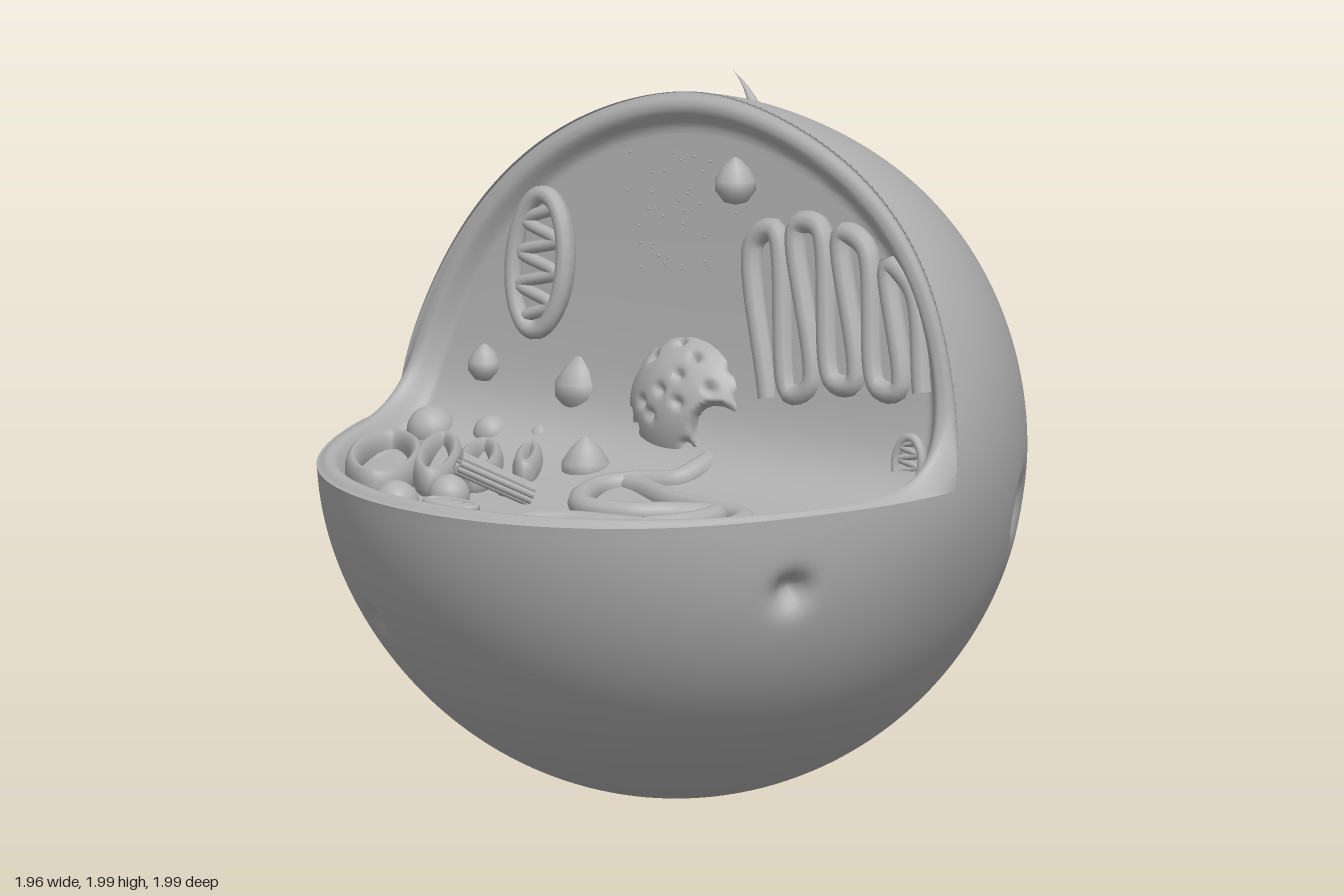
import * as THREE from 'three';
import { mergeVertices } from 'three/addons/utils/BufferGeometryUtils.js';

const grey = new THREE.MeshStandardMaterial({ color: 0xb0b0b0, side: THREE.DoubleSide });
grey.name = 'clay grey';

const V = (x, y, z) => new THREE.Vector3(x, y, z);
const CY = 0.975, FLOOR_SINK = 0.085, WALL_SINK = 0.045, FLOOR = 0.88;
const wallX = y => 0.123 * (y - CY) + WALL_SINK - 0.005;
const smooth = THREE.MathUtils.smoothstep;

function add(parent, name, geometry, pos = [0, 0, 0]) {
  const m = new THREE.Mesh(geometry, grey);
  m.name = name;
  m.position.set(...pos);
  parent.add(m);
  return m;
}

// Relief of the outer membrane: direction, height, radius
const relief = [
  // broad swells and flats
  [V(0, 0, 1), 0.025, 0.3], [V(0, 0, -1), 0.025, 0.3], [V(0, 0.65, 0.76), 0.045, 0.5], [V(0.1, 1, 0), 0.015, 0.3],
  [V(0.85, 0.5, 0), 0.04, 0.45], [V(0.8, -0.5, 0), -0.02, 0.35],
  [V(-0.8, 0, -0.6), 0.03, 0.5], [V(-0.5, 0, 0.85), -0.018, 0.3],
  // small pits
  [V(-0.48, -0.25, 0.82), -0.06, 0.05], [V(0.5, -0.14, 0.8), -0.05, 0.07],
  [V(0.97, -0.03, 0.1), -0.075, 0.055], [V(0.97, -0.03, 0.1), 0.015, 0.11],
  [V(-0.1, -0.36, -0.89), -0.045, 0.045], [V(-0.77, -0.43, -0.45), -0.025, 0.035],
].map(([d, h, r]) => [d.normalize(), h, r]);

function radius(d) {
  let r = 0.968;
  for (const [p, height, size] of relief) r += height * Math.exp(-d.distanceToSquared(p) / (size * size));
  return r;
}

// Body: three-quarter cross-sections swept from one z pole to the other
function bodyGeometry() {
  const arcN = 170, cutN = 80, rows = 130, total = arcN + cutN;
  const a0 = THREE.MathUtils.degToRad(83), a1 = THREE.MathUtils.degToRad(-178);
  const pos = [], index = [];
  for (let j = 0; j <= rows; j++) {
    const t = Math.PI * j / rows, R = Math.sin(t), z = Math.cos(t);
    const outer = a => {
      const d = V(R * Math.cos(a), R * Math.sin(a), z);
      return d.multiplyScalar(radius(d));
    };
    const floorEnd = outer(a1), wallEnd = outer(a0);
    for (let i = 0; i < total; i++) {
      let p;
      if (i < arcN) p = outer(a0 + (a1 - a0) * i / arcN);
      else {
        // floor, fillet and wall, sunk inside a rounded rim
        const w = Math.sin(Math.PI * ((i - arcN) / cutN - 0.5));
        const k = (1 - w * w) * Math.min(0.55, 0.15 / R), h = Math.sqrt(w * w + k * k);
        const a = (h - w) / 2, b = (h + w) / 2;
        p = V(0, 0, 0).addScaledVector(floorEnd, a).addScaledVector(wallEnd, b);
        p.z = THREE.MathUtils.lerp(floorEnd.z, wallEnd.z, (w + 1) / 2);
        const edge = 1 - Math.sqrt(w * w * R * R + z * z);
        const depth = (a * FLOOR_SINK + b * WALL_SINK) / (a + b);
        const sink = depth * smooth(edge, 0.045, 0.11) + 0.02 * (1 - smooth(edge, 0, 0.03)) * R;
        p.addScaledVector(V(b, -a, 0).normalize(), sink);
      }
      pos.push(p.x, p.y + CY, p.z);
      if (j < rows) {
        const n = (i + 1) % total, q = j * total;
        index.push(q + i, q + n, q + total + i, q + n, q + total + n, q + total + i);
      }
    }
  }
  let g = new THREE.BufferGeometry();
  g.setAttribute('position', new THREE.Float32BufferAttribute(pos, 3));
  g.setIndex(index);
  g = mergeVertices(g, 1e-5);
  g.computeVertexNormals();
  return g;
}

const tube = (pts, r, closed = false, n = 100) =>
  new THREE.TubeGeometry(new THREE.CatmullRomCurve3(pts, closed), n, r, 10, closed);

// Long oval rim lying in the xz plane
function oval(halfL, halfW, r) {
  const pts = Array.from({ length: 24 }, (_, i) => {
    const a = i / 24 * Math.PI * 2;
    return V(halfL * Math.cos(a), 0, halfW * Math.sin(a));
  });
  return tube(pts, r, true, 72);
}

// Cut-open oval capsule with a folded inner membrane
function mitochondrion(parent, halfL, halfW) {
  const g = new THREE.Group();
  g.name = 'mitochondrion';
  const r = halfW * 0.22;
  add(g, 'mitochondrionRim', oval(halfL - r, halfW - r, r), [0, r, 0]);
  add(g, 'mitochondrionShell', new THREE.SphereGeometry(1, 32, 12, 0, Math.PI * 2, Math.PI / 2, Math.PI / 2)
    .scale(halfL, halfW * 0.7, halfW), [0, r, 0]);
  add(g, 'mitochondrionBase', new THREE.CylinderGeometry(1, 1, 0.008, 32).scale(halfL - r, 1, halfW - r));
  const folds = [];
  for (let i = 0; i <= 7; i++) {
    const x = (i / 7 - 0.5) * 1.45 * halfL;
    const w = halfW * 0.55 * Math.sqrt(1 - (x / halfL) ** 2);
    folds.push(V(x, r, i % 2 ? w : -w));
  }
  add(g, 'innerFold', tube(folds, r * 0.7));
  parent.add(g);
  return g;
}

// Nucleus with pores and an open patch
function nucleusGeometry() {
  const pores = Array.from({ length: 80 }, (_, i) => {
    const y = 1 - 2 * (i + 0.5) / 80, s = Math.sqrt(1 - y * y), a = i * 2.4 + Math.sin(i * 7) * 0.2;
    return V(s * Math.cos(a), y, s * Math.sin(a));
  });
  const opening = V(-0.75, -0.05, 0.65).normalize();
  const g = new THREE.SphereGeometry(1, 110, 80);
  const p = g.attributes.position, d = V(0, 0, 0);
  for (let i = 0; i < p.count; i++) {
    d.fromBufferAttribute(p, i).normalize();
    let r = 1 - 0.45 * (1 - smooth(d.distanceTo(opening), 0.26, 0.33));
    for (const q of pores) r -= 0.13 * Math.exp(-d.distanceToSquared(q) / 0.004);
    p.setXYZ(i, d.x * r, d.y * r, d.z * r);
  }
  g.scale(0.18, 0.23, 0.23);
  g.computeVertexNormals();
  return g;
}

export function createModel() {
  const cell = new THREE.Group();
  cell.name = 'cutawayCell';
  add(cell, 'cellBody', bodyGeometry());

  // Curved spike on top
  const spike = new THREE.ConeGeometry(0.028, 0.14, 12, 6);
  const sp = spike.attributes.position;
  for (let i = 0; i < sp.count; i++) {
    const h = sp.getY(i) / 0.14 + 0.5;
    sp.setX(i, sp.getX(i) + 0.02 * h);
    sp.setZ(i, sp.getZ(i) - 0.1 * h * h);
  }
  spike.computeVertexNormals();
  add(cell, 'spike', spike, [0.24, 1.93, 0.09]);

  // Nucleus
  add(cell, 'nucleus', nucleusGeometry(), [0.13, 1.06, 0]);
  add(cell, 'nucleolus', new THREE.SphereGeometry(0.045, 20, 14), [0.07, 1.055, 0.07]);

  // Tubes winding over the floor: [x, z] points
  const outerPath = [[-0.92, 0.17], [-0.82, 0.13], [-0.74, 0.2], [-0.69, 0.38], [-0.65, 0.53], [-0.53, 0.62],
    [-0.4, 0.57], [-0.34, 0.4], [-0.3, 0.22], [-0.23, 0.07], [-0.21, 0.0]];
  const innerPath = [[0.02, 0.13], [-0.08, 0.15], [-0.15, 0.13], [-0.19, 0.02], [-0.27, -0.04], [-0.42, 0.01],
    [-0.54, 0.12], [-0.53, 0.26], [-0.44, 0.38], [-0.4, 0.47], [-0.52, 0.49], [-0.67, 0.44]];
  for (const path of [outerPath, innerPath]) {
    add(cell, 'floorReticulum', tube(path.map(([x, z]) => V(x, FLOOR + 0.02 + 0.06 * smooth(x, -0.25, 0), z)), 0.034));
  }

  // Tubes folded up and down on the wall
  const folds = [];
  for (let i = 0; i < 8; i++) {
    const z = 0.23 + i * 0.08, top = 1.63 - 1.2 * (z - 0.46) ** 2, low = 1.14 + 0.08 * smooth(z, 0.2, 0.5);
    const ends = i % 2 ? [top, low] : [low, top];
    for (const y of ends) folds.push(V(wallX(y) - 0.005, y, z + (1.4 - y) * 0.22));
  }
  add(cell, 'wallReticulum', tube(folds, 0.032, false, 200));

  // Stack of open flattened sacs: x, z, half length, half width
  for (const [x, z, l, w] of [[-0.44, -0.68, 0.32, 0.1], [-0.35, -0.565, 0.29, 0.06],
    [-0.3, -0.455, 0.23, 0.055], [-0.2, -0.365, 0.165, 0.032]]) {
    const sac = new THREE.Group();
    sac.name = 'flattenedSac';
    const rim = add(sac, 'sacRim', oval(l - 0.02, w - 0.012, 0.021));
    rim.scale.y = 2.2;
    add(sac, 'sacBase', new THREE.CylinderGeometry(1, 1, 0.01, 40).scale(l - 0.02, 1, w - 0.012), [0, -0.025, 0]);
    sac.position.set(x, FLOOR + 0.03, z);
    sac.rotation.y = 0.62;
    cell.add(sac);
  }

  // Round vesicles: x, y, z, radius
  for (const [x, y, z, r] of [[-0.08, 0.94, -0.81, 0.068], [-0.05, 0.95, -0.62, 0.05], [-0.02, 0.95, -0.46, 0.04],
    [-0.78, 0.89, -0.36, 0.065], [-0.61, 0.895, -0.31, 0.058], [-0.44, 0.895, -0.23, 0.036]]) {
    add(cell, 'vesicle', new THREE.SphereGeometry(r, 24, 16), [x, y, z]);
  }

  // Drop-shaped vesicles: x, y, z, radius
  const drop = new THREE.LatheGeometry([[0, -1], [0.55, -0.84], [0.95, -0.3], [0.95, 0.2], [0.6, 0.75], [0.2, 1.15], [0, 1.25]]
    .map(([x, y]) => new THREE.Vector2(x, y)), 24);
  for (const [x, y, z, r] of [[0.1, 1.72, 0.13, 0.06], [-0.15, 0.92, -0.2, 0.07],
    [0.06, 1.09, -0.39, 0.075], [0.03, 1.12, -0.71, 0.048]]) {
    add(cell, 'dropVesicle', drop, [x, y, z]).scale.setScalar(r);
  }

  // Mitochondria: one on the floor, two on the wall
  const m1 = mitochondrion(cell, 0.1, 0.052);
  m1.position.set(-0.76, FLOOR + 0.015, -0.18);
  m1.rotation.y = Math.PI / 2 - 0.1;
  for (const [x, y, z, l, w] of [[0.085, 1.42, -0.54, 0.215, 0.115], [0.015, 1.03, 0.83, 0.085, 0.06]]) {
    const m = mitochondrion(cell, l, w);
    m.position.set(x, y, z);
    m.rotation.z = Math.PI / 2 - 0.12;
  }

  // Centriole: a bundle of rods, tilted up at one end
  const centriole = new THREE.Group();
  centriole.name = 'centriole';
  for (let i = 0; i < 9; i++) {
    const a = i / 9 * Math.PI * 2;
    add(centriole, 'rod', new THREE.CylinderGeometry(0.01, 0.01, 0.23, 8), [0.024 * Math.cos(a), 0, 0.024 * Math.sin(a)]);
  }
  centriole.position.set(-0.57, 0.95, -0.18);
  centriole.quaternion.setFromUnitVectors(V(0, 1, 0), V(-0.18, 0.11, -0.14).normalize());
  cell.add(centriole);

  // Tiny grains scattered over the wall
  let seed = 7;
  const rand = () => (seed = (seed * 16807) % 2147483647) / 2147483647;
  for (let i = 0; i < 40; i++) {
    const y = 1.3 + 0.5 * rand(), z = -0.3 + 0.45 * rand();
    add(cell, 'grain', new THREE.SphereGeometry(0.004, 6, 4), [wallX(y), y, z]);
  }
  return cell;
}
